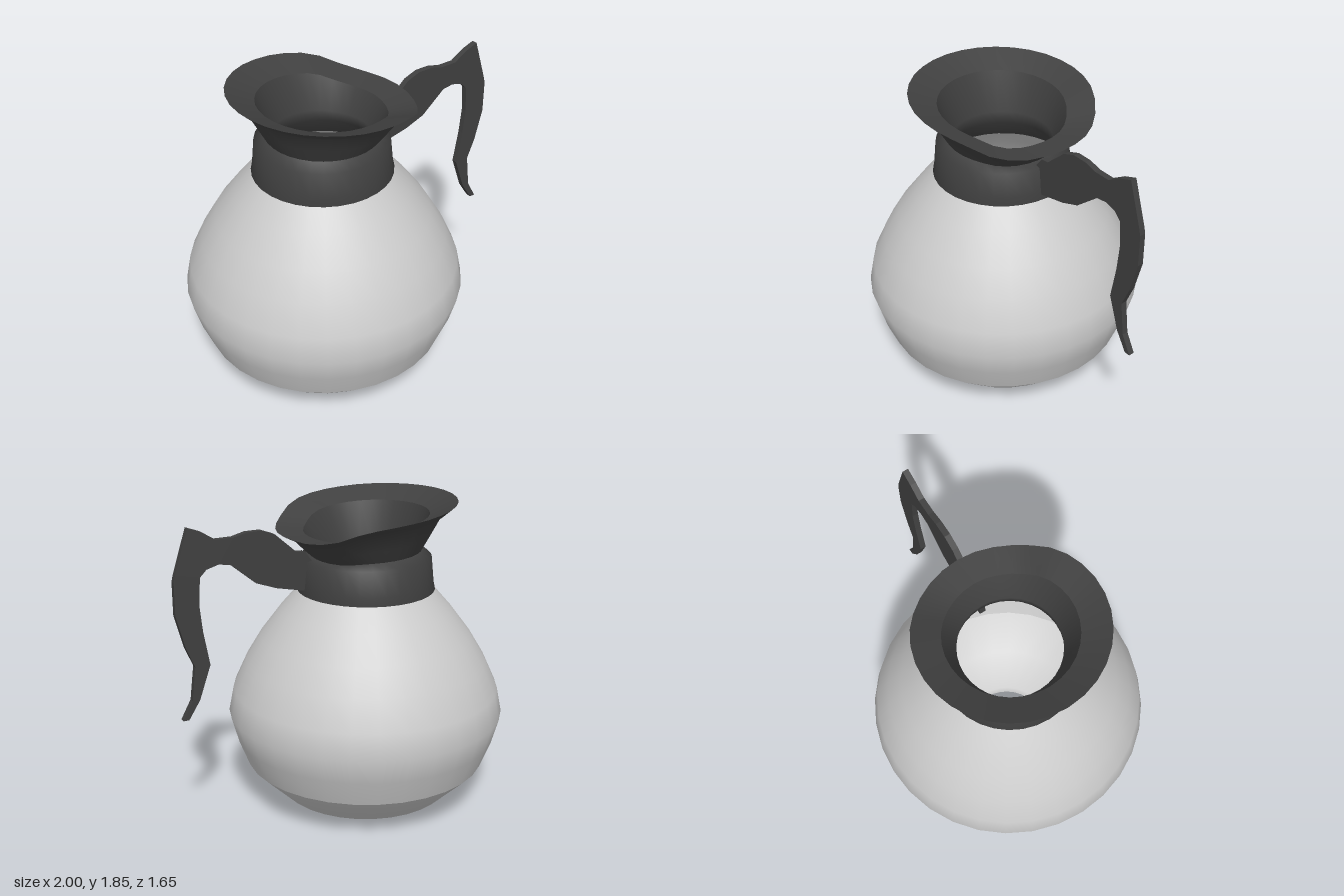
import * as THREE from 'three';
import { mergeVertices } from 'three/addons/utils/BufferGeometryUtils.js';

const AXIS = -0.177; // x of the pot's axis
const SIDES = 32;
const v2 = (list) => list.map(([a, b]) => new THREE.Vector2(a, b));

// How far the rim drops from pouring lip (c = -1) to handle side (c = 1)
const DROP = [[-1, 0], [-0.43, 0.02], [0, 0.04], [0.34, 0.06], [0.57, 0.095], [0.75, 0.145], [0.9, 0.165], [1, 0.165]];
function rimDrop(c) {
  for (let i = 1; i < DROP.length; i++) {
    const [c0, d0] = DROP[i - 1], [c1, d1] = DROP[i];
    if (c <= c1) return THREE.MathUtils.lerp(d0, d1, (c - c0) / (c1 - c0));
  }
  return DROP[DROP.length - 1][1];
}

// Turned surface; profile entries are [radius, y, share of the rim drop]
function turned(name, profile, material) {
  const geometry = new THREE.LatheGeometry(v2(profile), SIDES);
  const pos = geometry.attributes.position;
  for (let i = 0; i < pos.count; i++) {
    const share = profile[i % profile.length][2] || 0;
    const c = pos.getX(i) / Math.hypot(pos.getX(i), pos.getZ(i));
    pos.setY(i, pos.getY(i) - share * rimDrop(c));
  }
  geometry.deleteAttribute('uv');
  geometry.deleteAttribute('normal');
  const welded = mergeVertices(geometry, 1e-4);
  welded.computeVertexNormals();
  const mesh = new THREE.Mesh(welded, material);
  mesh.name = name;
  mesh.position.x = AXIS;
  return mesh;
}

export function createModel() {
  const group = new THREE.Group();
  group.name = 'coffeePot';
  const glass = new THREE.MeshStandardMaterial({ color: 0xcccccc, side: THREE.DoubleSide });
  const dark = new THREE.MeshStandardMaterial({ color: 0x404040, side: THREE.DoubleSide });

  // Base with an open hole underneath, then the bulging bowl
  group.add(turned('base', [[0.25, 0.005], [0.28, 0], [0.515, 0.06], [0.72, 0.26]], glass));
  group.add(turned('bowl', [
    [0.72, 0.26], [0.782, 0.42], [0.823, 0.57], [0.793, 0.72], [0.715, 0.89],
    [0.625, 1.04], [0.505, 1.2], [0.4, 1.32],
  ], glass));

  // Collar around the neck
  group.add(turned('collar', [
    [0.398, 1.32], [0.406, 1.32], [0.396, 1.37], [0.382, 1.515], [0.325, 1.56, 0.2],
  ], dark));

  // Flared spout: outside, sloping lip and throat
  group.add(turned('spoutOutside', [
    [0.325, 1.56, 0.2], [0.375, 1.655, 0.5], [0.435, 1.77, 0.82], [0.48, 1.805, 0.9], [0.525, 1.845, 1],
  ], dark));
  group.add(turned('spoutLip', [[0.525, 1.845, 1], [0.365, 1.77, 0.65]], dark));
  group.add(turned('throat', [[0.365, 1.77, 0.65], [0.29, 1.53, 0.1], [0.3, 1.45], [0.398, 1.32]], dark));

  // Flat cut-out handle
  const outline = v2([
    [0.13, 1.47], [0.22, 1.58], [0.27, 1.585], [0.4, 1.7], [0.48, 1.73], [0.57, 1.73], [0.65, 1.71],
    [0.75, 1.71], [0.83, 1.76], [0.91, 1.79], [0.99, 1.54], [1, 1.5], [1, 1.31], [0.95, 1.12],
    [0.9, 1], [0.925, 0.8], [0.985, 0.69], [0.95, 0.69], [0.88, 0.8], [0.81, 1], [0.845, 1.2],
    [0.86, 1.35], [0.85, 1.51], [0.81, 1.55], [0.74, 1.57], [0.67, 1.56], [0.52, 1.435],
    [0.4, 1.39], [0.22, 1.35], [0.13, 1.36],
  ]);
  const handle = new THREE.Mesh(
    new THREE.ExtrudeGeometry(new THREE.Shape(outline), { depth: 0.035, bevelEnabled: false }), dark);
  handle.name = 'handle';
  group.add(handle);

  return group;
}
